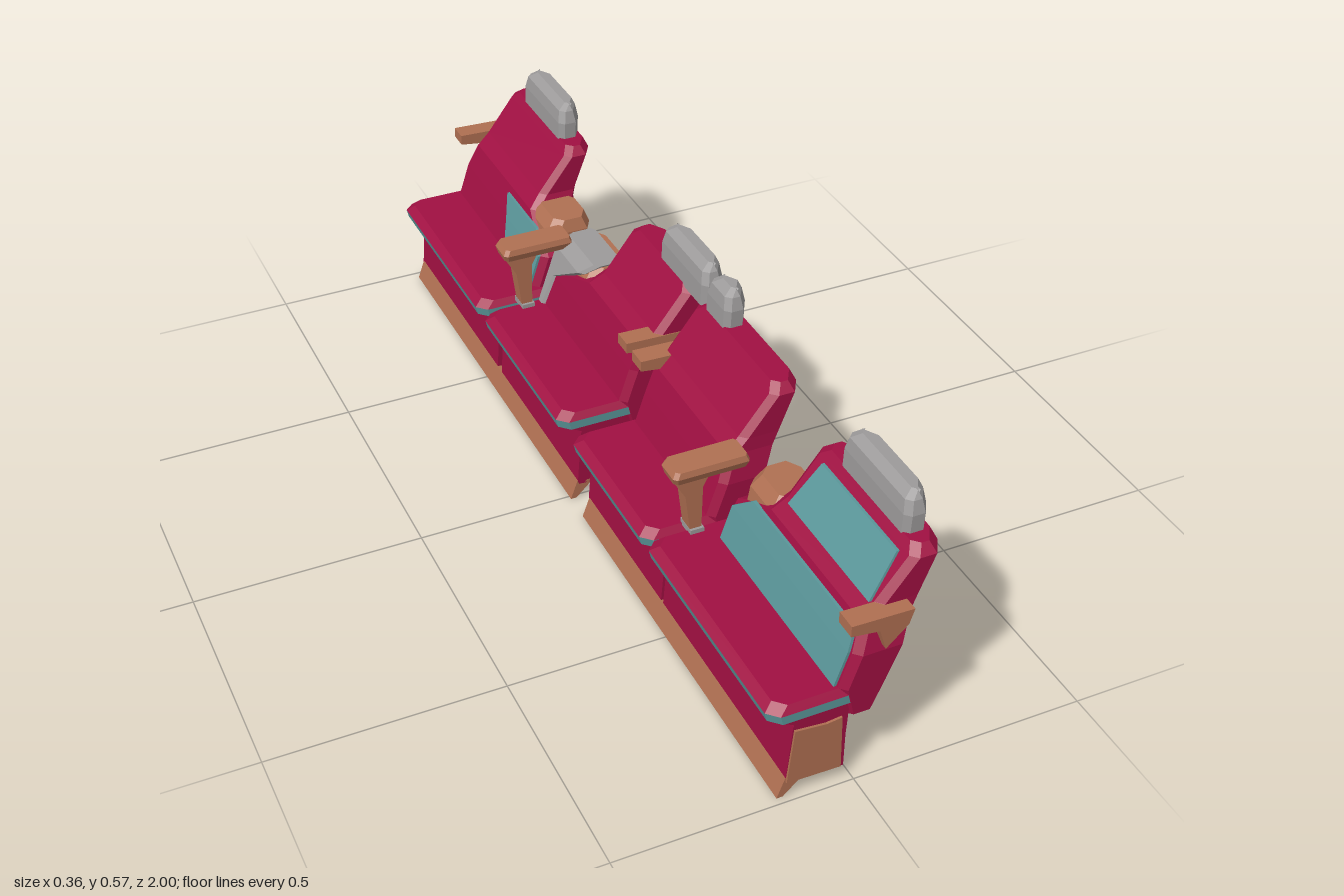
import * as THREE from 'three';

const mat = (name, color) => {
  const m = new THREE.MeshStandardMaterial({ color });
  m.name = name;
  return m;
};

// Horizontal section: front edge at x0, rear edge at x1, corners cut by front (f) and rear (r) chamfers
const section = ([y, x0, x1, z0, z1], f, r) => [
  [x0, y, z0 + f], [x0, y, z1 - f], [x0 + f, y, z1], [x1 - r * 0.6, y, z1],
  [x1, y, z1 - r], [x1, y, z0 + r], [x1 - r * 0.6, y, z0], [x0 + f, y, z0],
];

// Stack sections from bottom to top into a faceted closed body
function loft(rows, f = 0.01, r = 0.01) {
  const rings = rows.map((row) => section(row, f, r));
  const n = 8, pos = [];
  const tri = (a, b, c) => pos.push(...a, ...b, ...c);
  for (let i = 0; i < rings.length - 1; i++) {
    for (let j = 0; j < n; j++) {
      const k = (j + 1) % n, lo = rings[i], hi = rings[i + 1];
      tri(lo[j], lo[k], hi[k]);
      tri(lo[j], hi[k], hi[j]);
    }
  }
  const bottom = rings[0], top = rings[rings.length - 1];
  for (let j = 1; j < n - 1; j++) {
    tri(top[0], top[j], top[j + 1]);
    tri(bottom[0], bottom[j + 1], bottom[j]);
  }
  const g = new THREE.BufferGeometry();
  g.setAttribute('position', new THREE.Float32BufferAttribute(pos, 3));
  g.computeVertexNormals();
  return g;
}

// Side outline in x, y pulled along z
function slab(points, z0, z1) {
  const shape = new THREE.Shape(points.map(([x, y]) => new THREE.Vector2(x, y)));
  return new THREE.ExtrudeGeometry(shape, { depth: z1 - z0, bevelEnabled: false }).translate(0, 0, z0);
}

const box = (x0, x1, y0, y1, z0, z1) =>
  new THREE.BoxGeometry(x1 - x0, y1 - y0, z1 - z0).translate((x0 + x1) / 2, (y0 + y1) / 2, (z0 + z1) / 2);

// Backrest side profile: height, front x, rear x, share of narrowing, end inset
const BACK = [
  [0.16, -0.02, 0.05, 0, 0], [0.225, -0.035, 0.078, 0, 0], [0.3, -0.01, 0.108, 0, 0],
  [0.36, 0.012, 0.13, 0.9, 0], [0.39, 0.04, 0.143, 1, 0], [0.475, 0.105, 0.176, 1, 0], [0.492, 0.118, 0.17, 1, 0.02],
];
const frontX = (y) => {
  const i = Math.max(1, BACK.findIndex((b) => b[0] >= y));
  const a = BACK[i - 1], b = BACK[i];
  return THREE.MathUtils.lerp(a[1], b[1], (y - a[0]) / (b[0] - a[0]));
};

// Thin coloured plate lying on the backrest front; rows are [y, z0, z1]
const plate = (rows) =>
  loft(rows.map(([y, z0, z1]) => [y, frontX(y) - 0.006, frontX(y) + 0.001, z0, z1]), 0, 0);

// Four seats: base span, lower back span, upper back span, headrest span
const SEATS = [
  { base: [-0.985, -0.47], low: [-0.985, -0.485], up: [-0.965, -0.61], head: [-0.9, -0.67], vent: true },
  { base: [-0.445, 0.01], low: [-0.45, 0.015], up: [-0.26, 0.03], head: [-0.12, 0.095] },
  { base: [0.07, 0.44], low: [0.07, 0.445], up: [0.07, 0.43], head: [0.1, 0.2] },
  { base: [0.45, 0.985], low: [0.49, 0.99], up: [0.61, 0.97], head: [0.68, 0.92], vent: true },
];

export function createModel() {
  const crimson = mat('crimson upholstery', 0xa01042);
  const wood = mat('brown wood', 0xb07052);
  const teal = mat('teal fabric', 0x5a9699);
  const grey = mat('grey cloth', 0x9c9a9a);
  const model = new THREE.Group();
  model.name = 'seatRow';
  const add = (parent, name, geo, material) => {
    const m = new THREE.Mesh(geo, material);
    m.name = name;
    parent.add(m);
  };

  SEATS.forEach(({ base, low, up, head, vent }, i) => {
    const seat = new THREE.Group();
    seat.name = `seat${i + 1}`;
    model.add(seat);
    const [z0, z1] = base;

    // Hollow base: front skirt, side walls and rear panel
    add(seat, 'frontSkirt', slab([[-0.138, 0.04], [-0.12, 0.04], [-0.105, 0.175], [-0.128, 0.175]], z0, z1), crimson);
    const side = [[-0.136, 0.036], [-0.02, 0.03], [-0.012, 0.19], [-0.126, 0.19]];
    for (const z of [z0, z1 - 0.012]) add(seat, 'sideWall', slab(side, z, z + 0.012), crimson);
    add(seat, 'rearPanel', box(-0.03, -0.016, 0.03, vent ? 0.085 : 0.175, z0, z1), crimson);
    if (vent) {
      add(seat, 'rearJamb', box(-0.03, -0.016, 0.085, 0.175, z0, z0 + 0.045), crimson);
      add(seat, 'rearJamb', box(-0.03, -0.016, 0.085, 0.175, z1 - 0.045, z1), crimson);
    }

    // Cushion in three layers with a coloured rim
    add(seat, 'cushionBase', loft([[0.168, -0.13, -0.01, z0, z1], [0.192, -0.172, -0.005, z0, z1]], 0.02), crimson);
    add(seat, 'cushionRim', loft([[0.192, -0.174, -0.005, z0 - 0.004, z1 + 0.004],
      [0.212, -0.179, 0, z0 - 0.004, z1 + 0.004]], 0.022), teal);
    add(seat, 'cushionTop', loft([[0.212, -0.179, 0, z0 - 0.004, z1 + 0.004],
      [0.226, -0.16, 0.01, z0 + 0.008, z1 - 0.008]], 0.022), crimson);

    // Reclined backrest, wide at the arms and narrow above
    const rows = BACK.map(([y, xf, xb, t, inset]) => [y, xf, xb,
      THREE.MathUtils.lerp(low[0], up[0], t) + inset, THREE.MathUtils.lerp(low[1], up[1], t) - inset]);
    add(seat, 'backrest', loft(rows, 0.015, 0.035), crimson);

    // Headrest
    const [h0, h1] = head;
    add(seat, 'headrest', loft([[0.482, 0.115, 0.172, h0, h1], [0.53, 0.117, 0.174, h0, h1],
      [0.558, 0.122, 0.17, h0 + 0.008, h1 - 0.008], [0.57, 0.142, 0.166, h0 + 0.02, h1 - 0.02]], 0.012, 0.03), grey);
  });

  // Floor rails
  for (const [z0, z1] of [[-0.98, 0.01], [0.075, 0.985]]) {
    add(model, 'floorRail', slab([[-0.155, 0], [-0.142, 0], [-0.105, 0.036], [-0.105, 0.042], [-0.139, 0.045]], z0, z1), wood);
  }

  // Wooden end panel
  add(model, 'endPanel', slab([[-0.138, 0.037], [-0.024, 0.034], [-0.028, 0.162], [-0.06, 0.158], [-0.126, 0.165]], 0.984, 0.99), wood);

  // Coloured backrest plates
  add(model, 'lowerBackPlate', plate([[0.225, 0.505, 0.97], [0.3, 0.505, 0.97], [0.345, 0.56, 0.96]]), teal);
  add(model, 'upperBackPlate', plate([[0.388, 0.64, 0.95], [0.47, 0.65, 0.93]]), teal);
  add(model, 'sideBackPlate', plate([[0.225, -0.66, -0.5], [0.3, -0.7, -0.5], [0.345, -0.73, -0.55]]), teal);

  // Side wings filling the corner behind the arms
  for (const [z0, z1] of [[-0.63, -0.495], [-0.445, -0.27], [0.5, 0.63]]) {
    add(model, 'sideWing', loft([[0.29, 0.005, 0.11, z0, z1], [0.35, 0.015, 0.125, z0, z1],
      [0.378, 0.035, 0.115, z0 + 0.01, z1 - 0.01]], 0.02, 0.03), wood);
  }
  add(model, 'wingCover', loft([[0.225, -0.042, 0.0, -0.45, -0.41], [0.3, -0.016, 0.03, -0.45, -0.4],
    [0.36, 0.005, 0.09, -0.45, -0.3], [0.384, 0.035, 0.1, -0.44, -0.28]], 0.012, 0.012), grey);

  // Shared armrests on tapered posts
  const post = [[-0.128, 0.368], [-0.1, 0.32], [-0.088, 0.225], [-0.064, 0.225], [-0.062, 0.335], [-0.045, 0.368]];
  for (const z of [-0.44, 0.45]) {
    add(model, 'armPost', slab(post, z - 0.018, z + 0.018), wood);
    add(model, 'armPostFoot', box(-0.09, -0.06, 0.222, 0.236, z - 0.024, z + 0.024), grey);
    add(model, 'armrest', loft([[0.364, -0.128, 0.03, z - 0.028, z + 0.028], [0.38, -0.132, 0.035, z - 0.034, z + 0.034],
      [0.393, -0.125, 0.03, z - 0.03, z + 0.03]], 0.008, 0.008), wood);
  }

  // Short armrests with brackets at the row ends and the aisle gap
  const bracket = [[-0.03, 0.368], [0.03, 0.36], [0.045, 0.312], [0.09, 0.355], [0.1, 0.388], [-0.03, 0.392]];
  for (const [z0, z1] of [[-1, -0.955], [-0.012, 0.032], [0.058, 0.105], [0.955, 1]]) {
    add(model, 'shortArmrest', slab(bracket, z0, z1), wood);
  }
  return model;
}
